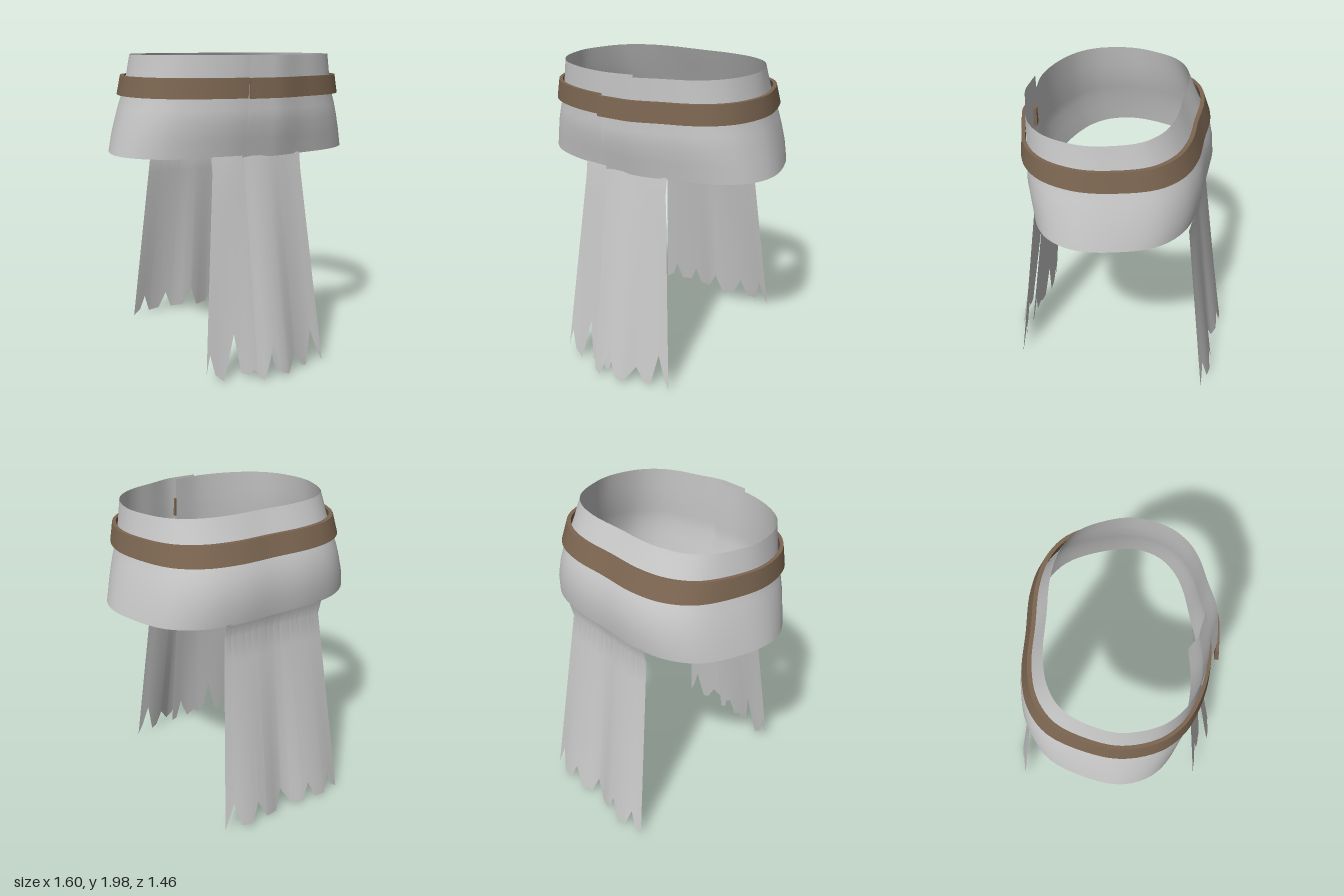
import * as THREE from 'three';

const cloth = new THREE.MeshStandardMaterial({ color: 0xc8c8c8, side: THREE.DoubleSide });
cloth.name = 'grey cloth';
const leather = new THREE.MeshStandardMaterial({ color: 0x7c6651, side: THREE.DoubleSide });
leather.name = 'brown leather';

// Smooth surface through rows of points
function surface(rows) {
  const n = rows[0].length, index = [];
  for (let j = 0; j < rows.length - 1; j++) {
    for (let i = 0; i < n - 1; i++) {
      const a = j * n + i, c = a + n;
      index.push(a, c, a + 1, a + 1, c, c + 1);
    }
  }
  const g = new THREE.BufferGeometry();
  g.setAttribute('position', new THREE.Float32BufferAttribute(rows.flat(2), 3));
  g.setIndex(index);
  g.computeVertexNormals();
  return g;
}

function part(name, rows, material) {
  const mesh = new THREE.Mesh(surface(rows), material);
  mesh.name = name;
  return mesh;
}

// Waist plan in unit form: starts at the front seam, goes round the left side
// and the back, and ends in a flap tucked under the start
const side = [[0.4, 0.88], [0.62, 0.78], [0.78, 0.65], [0.92, 0.42], [1, 0.02],
  [0.97, -0.3], [0.83, -0.72], [0.62, -0.92], [0.35, -1]];
const plan = new THREE.CatmullRomCurve3(
  [[-0.155, 1], [0, 1], [0.16, 0.99], ...side, [0, -1],
    ...side.slice().reverse().map(([u, w]) => [-u, w]), [-0.155, 0.92], [0.12, 0.87]]
    .map(([u, w]) => new THREE.Vector3(u, 0, w)), false, 'centripetal').getPoints(110);

// One level of the plan: height, half width, back z, front z
function level([y, halfWidth, back, front]) {
  const mid = 0.06;
  return plan.map(p => [p.x * halfWidth, y, mid + p.z * (p.z > 0 ? front - mid : mid - back)]);
}

function lerpList(list, x) {
  for (let i = 1; i < list.length; i++) {
    const [x0, y0] = list[i - 1], [x1, y1] = list[i];
    if (x <= x1) return y0 + (y1 - y0) * Math.max(0, (x - x0) / (x1 - x0));
  }
  return list[list.length - 1][1];
}

// Hanging cloth: edges at the top and hem, depth across each, and a torn hem line
function panel(name, { top, bottom, zTop, zBend, zHem, hem }) {
  const curve = zs => {
    const c = new THREE.CatmullRomCurve3(zs.map((z, i) => new THREE.Vector3(i / (zs.length - 1), 0, z)));
    return s => c.getPoint(s).z;
  };
  const [fTop, fBend, fHem] = [zTop, zBend, zHem].map(curve);
  const columns = new Set(hem.map(([x]) => (x - bottom[0]) / (bottom[1] - bottom[0])));
  for (let i = 0; i <= 30; i++) columns.add(i / 30);
  const across = [...columns].filter(s => s >= 0 && s <= 1).sort((a, b) => a - b);
  const rows = [across.map(s => [THREE.MathUtils.lerp(...top, s), 1.4, fTop(s)])];
  for (let r = 0; r <= 8; r++) {
    rows.push(across.map(s => {
      const end = lerpList(hem, THREE.MathUtils.lerp(...bottom, s));
      const y = 1.3 + (end - 1.3) * r / 8, t = (1.3 - y) / 1.3;
      const x0 = THREE.MathUtils.lerp(top[0], bottom[0], t);
      const x1 = THREE.MathUtils.lerp(top[1], bottom[1], t);
      return [x0 + (x1 - x0) * s, y, THREE.MathUtils.lerp(fBend(s), fHem(s), t)];
    }));
  }
  return part(name, rows, cloth);
}

export function createModel() {
  const model = new THREE.Group();
  model.name = 'tabard skirt';

  // Wrapped waist cloth
  const waist = [[2, 0.655, -0.4, 0.555], [1.87, 0.675, -0.46, 0.553], [1.75, 0.7, -0.52, 0.55],
    [1.68, 0.724, -0.55, 0.553], [1.6, 0.747, -0.567, 0.55], [1.5, 0.775, -0.575, 0.525], [1.39, 0.8, -0.56, 0.5]];
  model.add(part('waistCloth', waist.map(level), cloth));

  // Belt: four separate faces keep its edges sharp
  const ring = [[1.87, 0.69, -0.475, 0.558], [1.87, 0.712, -0.5, 0.58],
    [1.75, 0.733, -0.545, 0.59], [1.75, 0.708, -0.52, 0.565]].map(level);
  const belt = new THREE.Group();
  belt.name = 'belt';
  ['beltTop', 'beltOutside', 'beltUnderside', 'beltInside'].forEach((name, i) =>
    belt.add(part(name, [ring[i], ring[(i + 1) % 4]], leather)));
  for (const [name, i] of [['beltFrontEnd', 0], ['beltTuckedEnd', plan.length - 1]]) {
    belt.add(part(name, [[ring[0][i], ring[1][i]], [ring[3][i], ring[2][i]]], leather));
  }
  model.add(belt);

  // Front cloth: outer half overlaps the tucked half
  model.add(panel('frontOuterPanel', {
    top: [-0.115, 0.295], bottom: [-0.11, 0.41],
    zTop: [0.5, 0.503, 0.498, 0.485, 0.47, 0.46],
    zBend: [0.515, 0.52, 0.515, 0.5, 0.485, 0.475],
    zHem: [0.722, 0.735, 0.72, 0.665, 0.632, 0.62],
    hem: [[-0.11, 0.06], [-0.07, 0.03], [-0.05, 0.07], [0.01, 0.24], [0.05, 0.06], [0.11, 0.03],
      [0.19, 0.14], [0.24, 0.04], [0.28, 0.03], [0.34, 0.25], [0.38, 0.1], [0.41, 0.03]],
  }));
  model.add(panel('frontInnerPanel', {
    top: [-0.31, 0.09], bottom: [-0.42, 0.09],
    zTop: [0.46, 0.468, 0.475, 0.475, 0.465, 0.455],
    zBend: [0.475, 0.485, 0.49, 0.49, 0.48, 0.47],
    zHem: [0.62, 0.622, 0.635, 0.652, 0.66, 0.65],
    hem: [[-0.42, 0.08], [-0.4, 0.2], [-0.36, 0.07], [-0.3, 0.02], [-0.24, 0.31], [-0.19, 0.06],
      [-0.14, 0.04], [-0.11, 0.07], [-0.05, 0.03], [0.01, 0.2], [0.05, 0.04], [0.09, 0.03]],
  }));

  // Back cloth
  model.add(panel('backPanel', {
    top: [-0.355, 0.355], bottom: [-0.46, 0.46],
    zTop: [-0.555, -0.56, -0.56, -0.56, -0.56, -0.56, -0.555],
    zBend: [-0.53, -0.533, -0.533, -0.53, -0.533, -0.533, -0.53],
    zHem: [-0.705, -0.74, -0.735, -0.7, -0.735, -0.74, -0.705],
    hem: [[-0.46, 0.02], [-0.41, 0.06], [-0.38, 0.16], [-0.33, 0.03], [-0.25, 0.04], [-0.2, 0.16], [-0.15, 0.04],
      [-0.06, 0.05], [0.01, 0.17], [0.06, 0.03], [0.15, 0.04], [0.22, 0.17], [0.27, 0.04],
      [0.35, 0.05], [0.4, 0.21], [0.46, 0.04]],
  }));
  return model;
}
